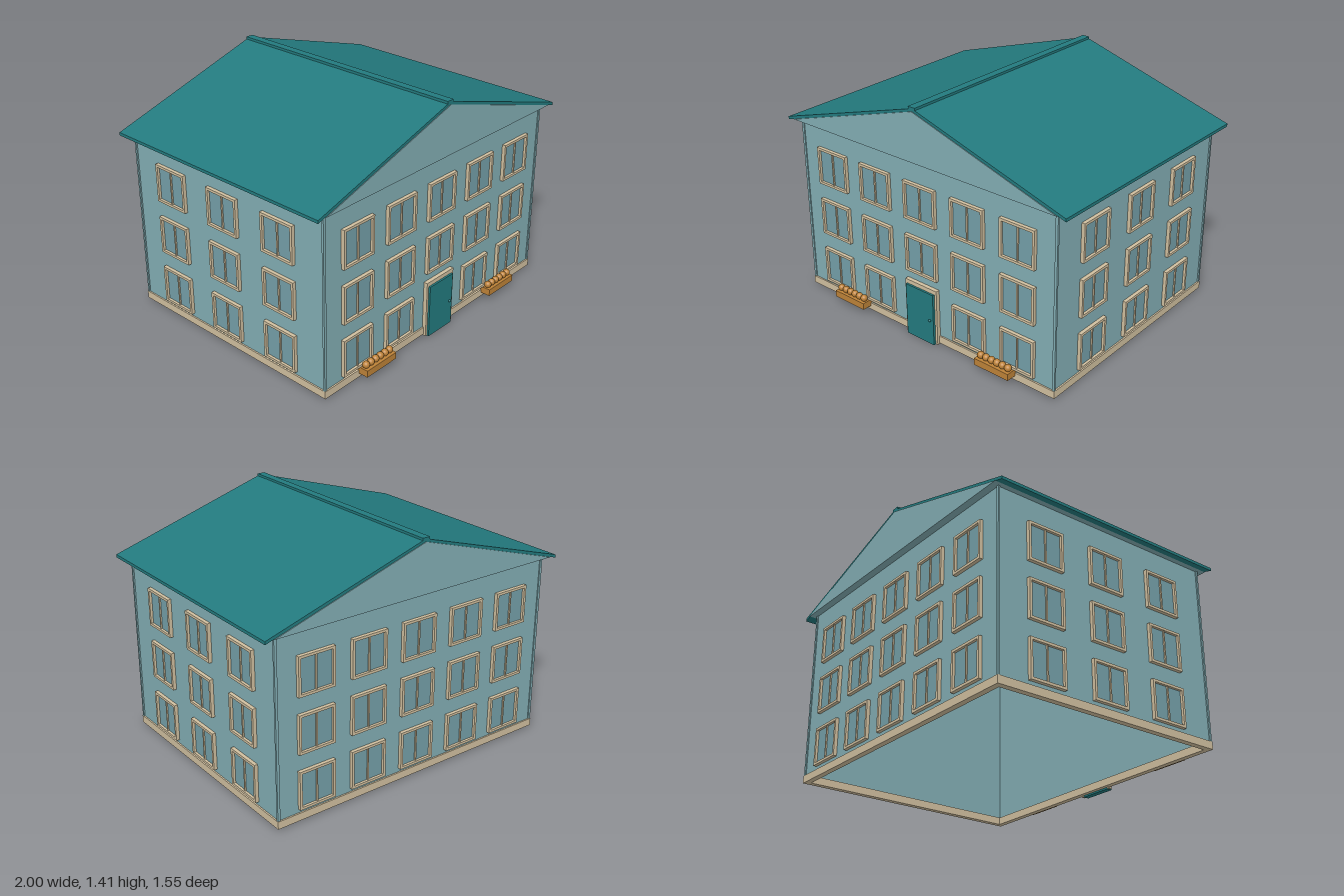
import * as THREE from 'three';

const mat = (name, hex, side = THREE.FrontSide) => {
  const m = new THREE.MeshStandardMaterial({ color: hex, side });
  m.name = name;
  return m;
};

export function createModel() {
  const house = new THREE.Group();
  house.name = 'house';
  const wall = mat('wall blue', 0x82adb3);
  const roofTeal = mat('roof teal', 0x237a7e);
  const trim = mat('cream trim', 0xd0bf9f);
  const glass = mat('window glass', 0x749fa8);
  const wood = mat('planter wood', 0xbd8238);

  const add = (name, geo, material, parent = house) => {
    const m = new THREE.Mesh(geo, material);
    m.name = name;
    parent.add(m);
    return m;
  };
  const box = (name, material, x0, x1, y0, y1, z0, z1, parent) => {
    const m = add(name, new THREE.BoxGeometry(x1 - x0, y1 - y0, z1 - z0), material, parent);
    m.position.set((x0 + x1) / 2, (y0 + y1) / 2, (z0 + z1) / 2);
    return m;
  };
  const polygon = (pts, Type = THREE.Shape) => new Type(pts.map(p => new THREE.Vector2(...p)));
  const rect = (x0, x1, y0, y1) => [[x0, y0], [x1, y0], [x1, y1], [x0, y1]];
  const extrude = (shape, depth) => new THREE.ExtrudeGeometry(shape, { depth, bevelEnabled: false });

  const W = 0.92, F = 0.71, B = -0.732, MID = (F + B) / 2;

  // Open rectangular shell standing between two heights
  const shell = (name, material, grow, thick, y0, y1) => {
    const w = W + grow, d = (F - B) / 2 + grow;
    const s = polygon(rect(-w, w, -d, d));
    s.holes.push(polygon(rect(-w + thick, w - thick, -d + thick, d - thick), THREE.Path));
    const g = extrude(s, y1 - y0);
    g.rotateX(-Math.PI / 2);
    g.translate(0, y0, MID);
    add(name, g, material);
  };
  shell('walls', wall, 0, 0.015, 0.03, 1.1);
  shell('plinth', trim, 0.009, 0.035, 0.01, 0.055);

  // Slim corner strips
  for (const x of [-W, W]) for (const z of [F, B])
    box('cornerStrip', wall, x - 0.008, x + 0.008, 0.05, 1.1, z - 0.006, z + 0.006);

  // Gable block that closes the top of the walls
  const gable = extrude(polygon([[-0.95, 1.1], [0.95, 1.1], [0, 1.392]]), 1.53);
  gable.translate(0, 0, -0.775);
  add('gables', gable, wall);

  // Roof slopes and ridge cap
  for (const s of [-1, 1]) {
    const pts = [[0, 1.388], [s, 1.086], [s, 1.104], [0, 1.408]];
    const g = extrude(polygon(pts), 1.522);
    g.translate(0, 0, -0.771);
    add(s < 0 ? 'rightRoof' : 'leftRoof', g, roofTeal);
  }
  box('ridgeCap', roofTeal, -0.026, 0.022, 1.395, 1.415, -0.771, 0.751);

  // Window parts, shared by every opening
  const frameShape = polygon(rect(-0.115, 0.115, -0.114, 0.114));
  frameShape.holes.push(polygon(rect(-0.1, 0.1, -0.099, 0.099), THREE.Path));
  const frameGeo = extrude(frameShape, 0.021);
  const paneGeo = new THREE.BoxGeometry(0.202, 0.2, 0.006);
  const mullionGeo = new THREE.BoxGeometry(0.009, 0.198, 0.012);
  const addWindow = (x, y, z, turn) => {
    const g = new THREE.Group();
    g.name = 'window';
    add('windowFrame', frameGeo, trim, g);
    add('windowPane', paneGeo, glass, g).position.z = 0.003;
    add('windowMullion', mullionGeo, trim, g).position.z = 0.008;
    g.position.set(x, y, z);
    g.rotation.y = turn;
    house.add(g);
  };
  [0.192, 0.519, 0.846].forEach((y, row) => {
    for (let i = -2; i <= 2; i++) {
      const x = i * 0.34;
      if (row > 0 || i !== 0) addWindow(x, y, F, 0);
      addWindow(x, y, B, Math.PI);
    }
    for (const z of [0.395, -0.02, -0.435]) {
      addWindow(W, y, z, Math.PI / 2);
      addWindow(-W, y, z, -Math.PI / 2);
    }
  });

  // Front door with surround
  box('doorSurround', trim, -0.118, -0.103, 0.003, 0.35, F, 0.734);
  box('doorSurround', trim, 0.103, 0.118, 0.003, 0.35, F, 0.734);
  box('doorLintel', trim, -0.103, 0.103, 0.325, 0.35, F, 0.734);
  box('door', roofTeal, -0.104, 0.1, 0, 0.325, F, 0.746);
  const knob = add('doorKnob', new THREE.SphereGeometry(0.008, 10, 8), roofTeal);
  knob.position.set(0.075, 0.155, 0.75);

  // Planters filled with round shrubs
  const shrubGeo = new THREE.SphereGeometry(0.021, 16, 12);
  for (const x of [-0.55, 0.548]) {
    box('planter', wood, x - 0.118, x + 0.118, 0.036, 0.077, F, 0.78);
    for (let i = 0; i < 6; i++)
      add('shrub', shrubGeo, wood).position.set(x + (i - 2.5) * 0.038, 0.094, 0.75);
  }
  return house;
}
